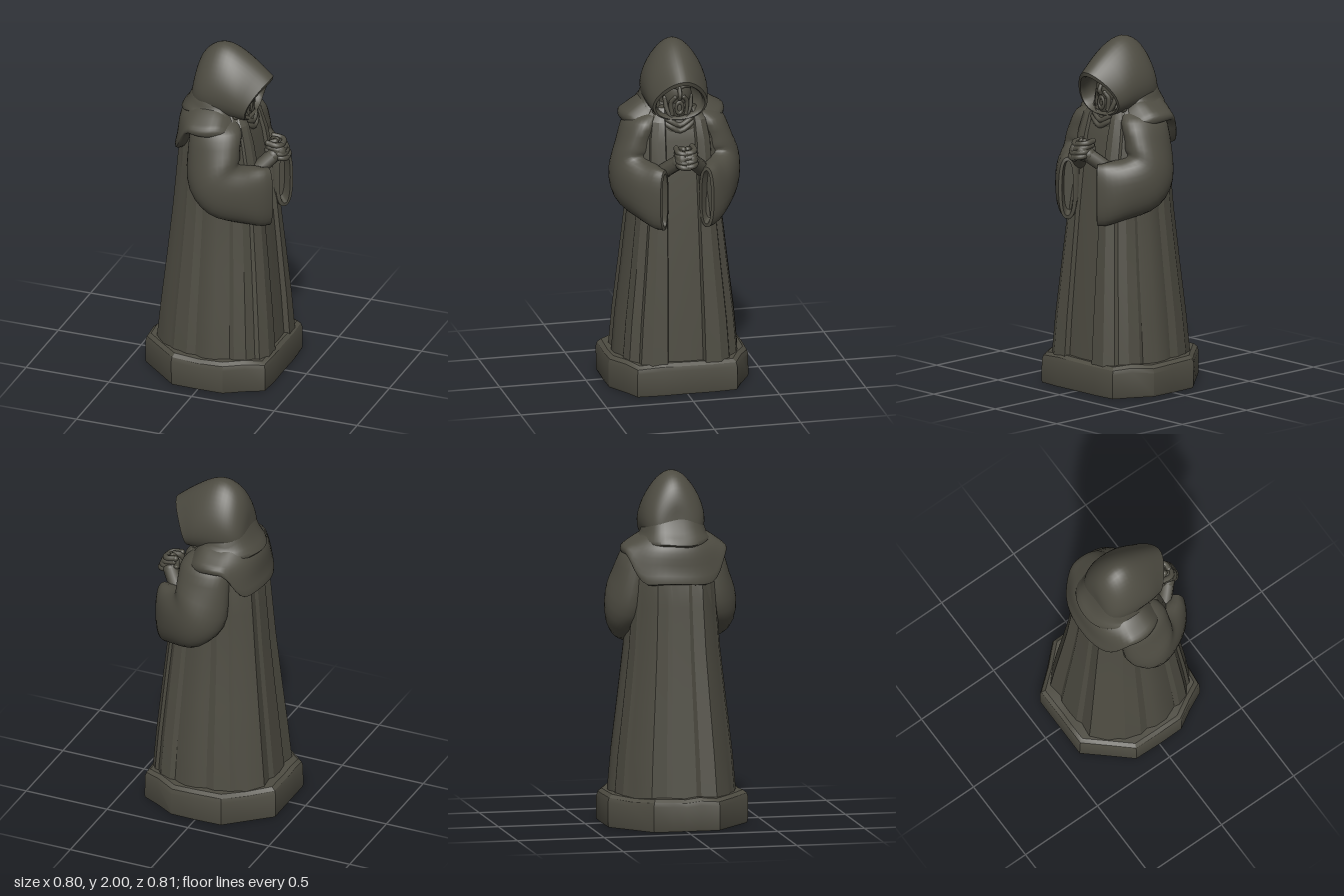
import * as THREE from 'three';
import { toCreasedNormals } from 'three/addons/utils/BufferGeometryUtils.js';

const V = (x, y, z) => new THREE.Vector3(x, y, z);
const { smoothstep, degToRad } = THREE.MathUtils;
const power = (v, e) => Math.sign(v) * Math.abs(v) ** e;

// Closed skin over a list of equal-length rings, with both ends capped
function loft(rings, crease) {
  const n = rings[0].length, pts = rings.flat(), idx = [];
  for (let r = 0; r < rings.length - 1; r++) {
    for (let i = 0; i < n; i++) {
      const a = r * n + i, b = r * n + (i + 1) % n;
      idx.push([a, b, b + n], [a, b + n, a + n]);
    }
  }
  [0, rings.length - 1].forEach((r) => {
    const mid = V(0, 0, 0);
    rings[r].forEach((p) => mid.addScaledVector(p, 1 / n));
    const c = pts.push(mid) - 1;
    for (let i = 0; i < n; i++) {
      const a = r * n + i, b = r * n + (i + 1) % n;
      idx.push(r ? [a, b, c] : [b, a, c]);
    }
  });
  // Turn every face outwards
  const volume = idx.reduce((s, [a, b, c]) => s + pts[a].dot(pts[b].clone().cross(pts[c])), 0);
  const geo = new THREE.BufferGeometry().setFromPoints(pts);
  geo.setIndex(idx.flatMap(([a, b, c]) => (volume < 0 ? [a, c, b] : [a, b, c])));
  return toCreasedNormals(geo, crease);
}

const ringOf = (n, f) => Array.from({ length: n }, (_, i) => f((i / n) * Math.PI * 2));

// Smoothly interpolates rows of numbers with a Catmull-Rom rule
function refine(rows, steps) {
  const out = [];
  const at = (i) => rows[Math.max(0, Math.min(rows.length - 1, i))];
  for (let i = 0; i < rows.length - 1; i++) {
    for (let k = 0; k < steps; k++) {
      const t = k / steps;
      out.push(rows[i].map((b, j) => {
        const a = at(i - 1)[j], c = at(i + 1)[j], d = at(i + 2)[j];
        return b + 0.5 * t * (c - a + t * (2 * a - 5 * b + 4 * c - d + t * (3 * (b - c) + d - a)));
      }));
    }
  }
  out.push(rows[rows.length - 1]);
  return out;
}

// Mirrors half an outline of [x, z] points from front to back
const mirrorOutline = (half) => [
  ...half, ...half.filter((p) => p[1] > 0).reverse().map(([x, z]) => [x, -z])];

// Cloth draped round the neck. Rows: front x, back x, half width, front y, side y, back y
const drape = (rows) => loft(refine(rows, 3).map(([f, b, w, yf, ys, yb], r) => ringOf(48, (a) => {
  const c = Math.cos(a), s = Math.sin(a), mid = -0.04;
  const y = ys + (yb - ys) * smoothstep(-c, 0.25, 0.85) + (yf - ys) * smoothstep(c, 0.3, 1);
  return V(mid + ((c > 0 ? f : b) - mid) * Math.abs(c) ** 0.9,
    y + 0.005 * Math.sin(5 * a + r * 0.3), w * power(s, 0.9));
})), 0.9);

export function createModel() {
  const model = new THREE.Group();
  const stone = new THREE.MeshStandardMaterial({ color: 0x4e4c42, side: THREE.DoubleSide });
  stone.name = 'dark olive stone';

  function add(name, geo, parent = model) {
    const mesh = new THREE.Mesh(geo, stone);
    mesh.name = name;
    parent.add(mesh);
    return mesh;
  }
  function blob(name, pos, scale, parent) {
    const mesh = add(name, new THREE.SphereGeometry(1, 20, 14), parent);
    mesh.position.set(...pos);
    mesh.scale.set(...scale);
  }
  const tube = (name, points, r, parent) => {
    const path = new THREE.CatmullRomCurve3(points.map((p) => V(...p)));
    add(name, new THREE.TubeGeometry(path, 14, r, 8), parent);
    [points[0], points[points.length - 1]].forEach((p) => blob(name + 'End', p, [r, r, r], parent));
  };

  // Eight-sided plinth with a worn, uneven top edge
  const plinth = mirrorOutline([[0.37, 0], [0.372, 0.15], [0.363, 0.29], [0.26, 0.34], [0.15, 0.405], [0, 0.407],
    [-0.16, 0.402], [-0.28, 0.295], [-0.4, 0.19], [-0.4, 0.08], [-0.4, 0]]);
  add('plinth', loft([[0, 0.99], [0.012, 1], [0.14, 1], [0.165, 0.982], [0.182, 0.93]].map(([y, s], r) =>
    plinth.map(([x, z], i) => {
      const wear = r > 1 ? Math.sin(i * 2.3) : 0, k = s + 0.006 * wear;
      return V(x * k, y + 0.006 * wear, z * k);
    })), 0.5));

  // Pleated robe, tapering to the shoulders, with a sunken front panel
  const robe = mirrorOutline([[0.33, 0], [0.325, 0.1], [0.355, 0.11], [0.352, 0.2], [0.315, 0.255],
    [0.29, 0.262], [0.255, 0.31], [0.19, 0.332], [0.16, 0.325], [0.08, 0.358], [0.01, 0.358], [-0.04, 0.34],
    [-0.09, 0.35], [-0.18, 0.322], [-0.21, 0.295], [-0.26, 0.27], [-0.332, 0.188], [-0.322, 0.1],
    [-0.338, 0.07], [-0.338, 0]]);
  // Rows: height, front, back and side scale; the front panel keeps more of its width
  add('robe', loft([[0.17, 1, 1, 1], [0.4, 0.955, 0.935, 0.945], [0.7, 0.88, 0.845, 0.845], [1, 0.8, 0.76, 0.75],
    [1.25, 0.71, 0.7, 0.7], [1.45, 0.61, 0.65, 0.67], [1.56, 0.52, 0.55, 0.6], [1.63, 0.38, 0.42, 0.42]]
    .map(([y, f, b, s]) => robe.map(([x, z]) =>
      V(x * (x > 0 ? f : b), y, z * (x > 0.3 && Math.abs(z) < 0.12 ? (1 + s) / 2 : s)))), 0.4));

  // Shoulder cape, long at the back and lifted over the arms, below a flared hood collar
  add('shoulderCape', drape([[0.13, -0.16, 0.15, 1.61, 1.67, 1.68], [0.16, -0.21, 0.2, 1.585, 1.645, 1.62],
    [0.175, -0.235, 0.255, 1.555, 1.61, 1.56], [0.185, -0.245, 0.298, 1.525, 1.578, 1.46],
    [0.185, -0.258, 0.295, 1.5, 1.54, 1.385], [0.16, -0.21, 0.25, 1.51, 1.535, 1.385]]));
  add('hoodCollar', drape([[0.1, -0.135, 0.13, 1.6, 1.76, 1.82], [0.13, -0.158, 0.17, 1.585, 1.7, 1.745],
    [0.16, -0.192, 0.187, 1.57, 1.655, 1.67], [0.17, -0.235, 0.202, 1.555, 1.63, 1.605],
    [0.14, -0.2, 0.18, 1.55, 1.605, 1.585]]));

  // Pointed hood with a hollow front, its brim swept back at the sides
  // Rows: top x, top y, bottom x, bottom y, half width
  const hood = [[0.08, 1.8, 0.06, 1.6, 0.09], [0.15, 1.83, 0.11, 1.59, 0.13], [0.265, 1.8, 0.165, 1.585, 0.128],
    [0.287, 1.805, 0.18, 1.57, 0.138], [0.292, 1.828, 0.175, 1.565, 0.152]];
  const shell = refine([hood[4], [0.19, 1.912, 0.125, 1.56, 0.167], [0.08, 1.982, 0.05, 1.56, 0.176],
    [0, 2, -0.03, 1.56, 0.175], [-0.07, 1.972, -0.09, 1.57, 0.162], [-0.12, 1.915, -0.135, 1.58, 0.135],
    [-0.147, 1.84, -0.16, 1.6, 0.098], [-0.155, 1.77, -0.168, 1.65, 0.04]], 3);
  add('hood', loft([...hood.slice(0, 4), ...shell].map(([tx, ty, bx, by, w]) => ringOf(40, (a) => {
    const t = (1 - Math.cos(a)) / 2, sweep = 0.03 * Math.sin(a) ** 2 * smoothstep(tx, 0.1, 0.28);
    return V(bx + (tx - bx) * t - sweep, by + (ty - by) * t, w * Math.sin(a) * (1.28 - 0.56 * t));
  })), 0.9));

  // Gaunt face with an open mouth
  const face = new THREE.Group();
  face.name = 'face';
  model.add(face);
  blob('head', [0.1, 1.71, 0], [0.08, 0.11, 0.085], face);
  blob('jaw', [0.115, 1.63, 0], [0.062, 0.085, 0.07], face);
  const mouth = add('openMouth', new THREE.TorusGeometry(0.02, 0.008, 8, 20), face);
  mouth.position.set(0.174, 1.638, 0);
  mouth.rotation.y = Math.PI / 2;
  mouth.scale.y = 1.6;
  tube('nose', [[0.168, 1.755, 0], [0.189, 1.71, 0], [0.181, 1.695, 0]], 0.012, face);
  for (const s of [1, -1]) {
    tube('brow', [[0.167, 1.755, 0.01 * s], [0.163, 1.763, 0.035 * s], [0.132, 1.745, 0.065 * s]], 0.011, face);
    tube('cheek', [[0.17, 1.7, 0.025 * s], [0.16, 1.67, 0.045 * s], [0.16, 1.6, 0.04 * s]], 0.013, face);
    tube('beardLock', [[0.13, 1.69, 0.075 * s], [0.145, 1.63, 0.068 * s], [0.165, 1.56, 0.03 * s]], 0.013, face);
  }
  // Neck folds below the chin
  for (const i of [0, 1]) {
    const y = 1.55 - i * 0.03, x = 0.17 + i * 0.008;
    tube('collarFold', [[x - 0.05, y + 0.06, -0.13], [x, y + 0.01, -0.05], [x + 0.005, y - 0.015, 0],
      [x, y + 0.01, 0.05], [x - 0.05, y + 0.06, 0.13]], 0.016);
  }

  // Wide hanging sleeves
  // Rows: centre x, y, z, half thickness, half depth, pitch and yaw in degrees
  const sleeve = refine([[0.02, 1.6, 0.12, 0.06, 0.09, 0, 0], [0.025, 1.55, 0.18, 0.1, 0.145, 0, 0],
    [0.03, 1.42, 0.225, 0.108, 0.155, 10, 0], [0.04, 1.29, 0.252, 0.12, 0.175, 35, 5],
    [0.095, 1.215, 0.253, 0.113, 0.172, 60, 20], [0.185, 1.178, 0.212, 0.1, 0.17, 78, 35],
    [0.27, 1.152, 0.16, 0.078, 0.178, 86, 45], [0.318, 1.145, 0.122, 0.052, 0.178, 90, 50]], 3);
  // Cuff lip and hollow
  sleeve.push([0.322, 1.145, 0.12, 0.032, 0.158, 90, 50], [0.28, 1.15, 0.155, 0.026, 0.14, 90, 50]);
  for (const s of [1, -1]) {
    const side = s > 0 ? 'left' : 'right';
    add(side + 'Sleeve', loft(sleeve.map(([x, y, z, a, b, pitch, yaw], r) => {
      const p = degToRad(pitch), w = degToRad(yaw);
      const square = 1 - 0.2 * smoothstep(r, 9, 18);
      return ringOf(32, (t) => {
        const k = r > 3 && r < 20 ? 1 + 0.02 * Math.sin(3 * t + r * 0.9) : 1;
        const u = a * power(Math.cos(t), square) * k, v = b * power(Math.sin(t), square) * k;
        return V(x + u * Math.sin(w) + v * Math.cos(p) * Math.cos(w), y + v * Math.sin(p),
          s * (z + u * Math.cos(w) - v * Math.cos(p) * Math.sin(w)));
      });
    }), 0.8));

    // Clasped hand: wrist, palm, wrapped fingers and thumb
    const hand = new THREE.Group();
    hand.name = side + 'Hand';
    model.add(hand);
    tube('wrist', [[0.22, 1.27, 0.13 * s], [0.27, 1.32, 0.085 * s], [0.315, 1.365, 0.04 * s]], 0.043, hand);
    blob('palm', [0.328, 1.383, 0.028 * s], [0.058, 0.056, 0.038], hand);
    for (let i = 0; i < 4; i++) {
      const y = 1.352 + i * 0.024 + (s > 0 ? 0 : 0.006), x = 0.383 - i * 0.01;
      tube('finger', [[x - 0.07, y + 0.012, 0.046 * s], [x - 0.02, y + 0.005, 0.048 * s],
        [x, y, 0.028 * s], [x + 0.001, y - 0.004, -0.004 * s]], 0.0165, hand);
    }
    tube('thumb', [[0.28, 1.39, 0.042 * s], [0.285, 1.425, 0.03 * s], [0.315, 1.436, 0.012 * s]], 0.018, hand);
  }
  return model;
}
